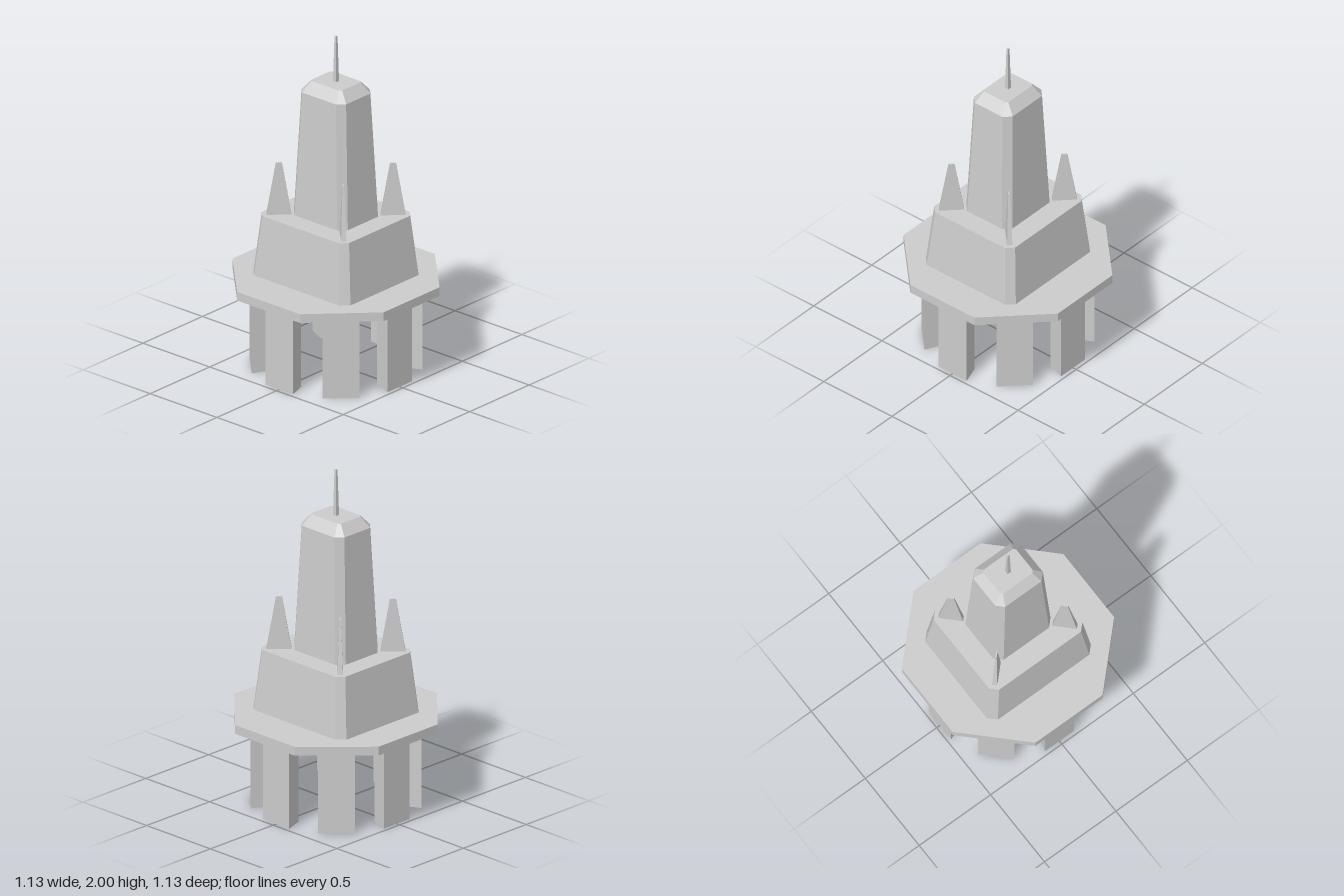
import * as THREE from 'three';

const material = new THREE.MeshStandardMaterial({ color: 0xcccccc, flatShading: true });

// Outlines are [x, z] points running from +x towards +z.
const rect = (w, d) => [[w, -d], [w, d], [-w, d], [-w, -d]];
const chamfered = (w, d, c) => [
  [w, -d + c], [w, d - c], [w - c, d], [-w + c, d],
  [-w, d - c], [-w, -d + c], [-w + c, -d], [w - c, -d],
];

// Closed solid through a stack of outlines: [{ y, ring }, ...] from bottom to top
function loft(levels) {
  const pos = [];
  const tri = (...pts) => pts.forEach((p) => pos.push(...p));
  const rings = levels.map(({ y, ring }) => ring.map(([x, z]) => [x, y, z]));
  const n = rings[0].length;
  for (let k = 0; k < rings.length - 1; k++) {
    const lo = rings[k], hi = rings[k + 1];
    for (let i = 0; i < n; i++) {
      const j = (i + 1) % n;
      tri(lo[i], hi[i], hi[j]);
      tri(lo[i], hi[j], lo[j]);
    }
  }
  const bottom = rings[0], top = rings[rings.length - 1];
  for (let i = 1; i < n - 1; i++) {
    tri(bottom[0], bottom[i], bottom[i + 1]);
    tri(top[0], top[i + 1], top[i]);
  }
  const geo = new THREE.BufferGeometry();
  geo.setAttribute('position', new THREE.Float32BufferAttribute(pos, 3));
  geo.computeVertexNormals();
  return geo;
}

export function createModel() {
  const model = new THREE.Group();
  model.name = 'tower';
  const add = (name, geo, parent = model) => {
    const mesh = new THREE.Mesh(geo, material);
    mesh.name = name;
    parent.add(mesh);
    return mesh;
  };

  // Eight pillars, wide outside and narrower inside
  const pillars = new THREE.Group();
  pillars.name = 'pillars';
  model.add(pillars);
  const pillarRing = [[0.477, -0.103], [0.477, 0.103], [0.366, 0.065], [0.366, -0.065]];
  const pillarGeo = loft([{ y: 0, ring: pillarRing }, { y: 0.503, ring: pillarRing }]);
  for (let i = 0; i < 8; i++) add('pillar', pillarGeo, pillars).rotation.y = (i * Math.PI) / 4;

  // Octagonal deck
  const deckRing = chamfered(0.566, 0.566, 0.331);
  add('deck', loft([{ y: 0.503, ring: deckRing }, { y: 0.556, ring: deckRing }]));

  // Lower tier
  add('lowerTier', loft([
    { y: 0.556, ring: chamfered(0.364, 0.33, 0.044) },
    { y: 0.916, ring: chamfered(0.327, 0.297, 0.04) },
  ]));

  // Tall upper tier with its sloped roof
  add('upperTier', loft([
    { y: 0.916, ring: chamfered(0.202, 0.17, 0.043) },
    { y: 1.665, ring: chamfered(0.167, 0.142, 0.04) },
    { y: 1.726, ring: chamfered(0.115, 0.09, 0.013) },
  ]));

  // Spire on the roof
  add('spire', loft([
    { y: 1.726, ring: rect(0.012, 0.012) },
    { y: 2, ring: rect(0.006, 0.006) },
  ]));

  // Thin tapering fins on the four diagonals
  const finGeo = loft([
    { y: 0.916, ring: rect(0.07, 0.015) },
    { y: 1.228, ring: rect(0.017, 0.004) },
  ]);
  for (const sx of [-1, 1]) {
    for (const sz of [-1, 1]) {
      const fin = add('cornerFin', finGeo);
      fin.position.set(sx * 0.24, 0, sz * 0.21);
      fin.rotation.y = Math.atan2(-sz, sx);
    }
  }
  return model;
}
